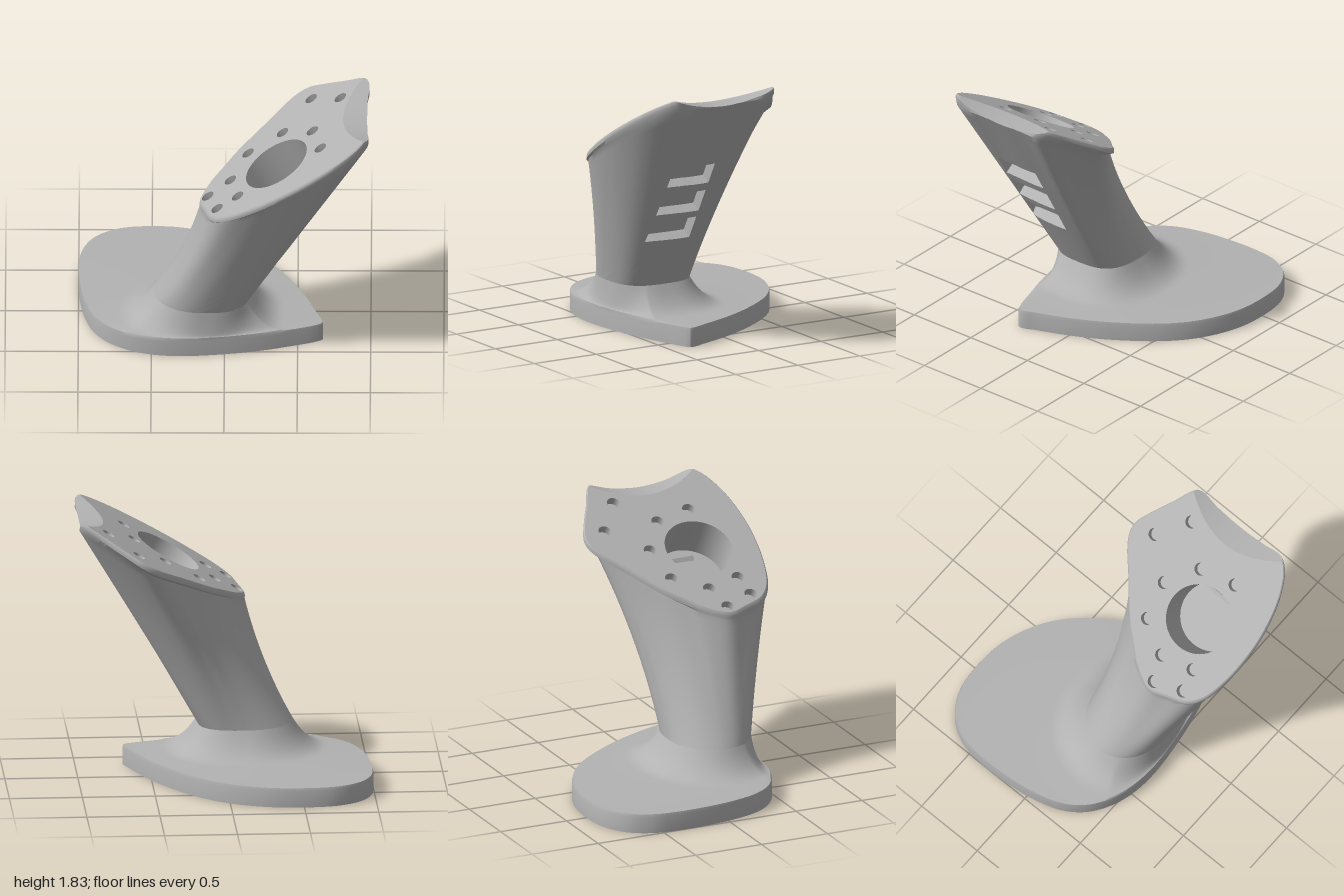
import * as THREE from 'three';
import { toCreasedNormals } from 'three/addons/utils/BufferGeometryUtils.js';

const V = (x, y, z) => new THREE.Vector3(x, y, z);
const lerp = THREE.MathUtils.lerp;
const TILT = Math.PI / 6;

// Joins rings of equal length (bottom to top, or outside to inside) into a surface
function loft(rings, closed = true, skip = () => false, crease = 0.6) {
  const n = rings[0].length, pos = [], index = [];
  rings.forEach(r => r.forEach(p => pos.push(p.x, p.y, p.z)));
  for (let r = 0; r < rings.length - 1; r++) {
    for (let c = 0; c < (closed ? n : n - 1); c++) {
      if (skip(r, c)) continue;
      const a = r * n + c, b = r * n + (c + 1) % n;
      index.push(a, a + n, b, b, a + n, b + n);
    }
  }
  const g = new THREE.BufferGeometry();
  g.setAttribute('position', new THREE.Float32BufferAttribute(pos, 3));
  g.setIndex(index);
  return toCreasedNormals(g, crease);
}

// Smooth closed outline in x, z
function outlineCurve(points) {
  const c = new THREE.CatmullRomCurve3(points.map(([x, z]) => V(x, 0, z)), true, 'centripetal');
  c.arcLengthDivisions = 1000;
  return c;
}

// Neck section: round on its left, squarer on its right
const NECK = { x: -0.16, z: 0.23, rx: 0.33, rz: 0.29, y: 0.33 };
function neckPoint(a) {
  const c = Math.cos(a), s = Math.sin(a), e = c > 0 ? 2 / 3 : 1;
  return V(NECK.x + NECK.rx * Math.sign(c) * Math.abs(c) ** e, NECK.y,
    NECK.z + NECK.rz * Math.sign(s) * Math.abs(s) ** e);
}

// Sloping top plane, with a shallow cylindrical cradle cut across its high end
const plane = x => 1.282 + 0.577 * x;
const cradle = z => 1.75 + (z - 0.25) ** 2 / 2;
const topY = (x, z, drop) => Math.min(plane(x) - drop, cradle(z));

// Upper plate outline, starting at the middle of the high edge
const plateOutline = outlineCurve([
  [0.975, 0.25], [0.978, 0.45], [0.98, 0.61], [0.92, 0.7], [0.78, 0.78], [0.62, 0.825], [0.43, 0.845],
  [0.19, 0.825], [0, 0.765], [-0.09, 0.68], [-0.135, 0.55], [-0.17, 0.4], [-0.1, 0.24], [-0.02, 0.14],
  [0.08, 0.02], [0.3, -0.18], [0.43, -0.3], [0.51, -0.348], [0.58, -0.355], [0.64, -0.33],
  [0.82, -0.225], [0.98, -0.12], [0.978, 0.05]]);
const plateSamples = plateOutline.getSpacedPoints(1200);
function platePoint(u) {
  const f = (((u % 1) + 1) % 1) * 1200, i = Math.floor(f);
  return plateSamples[i].clone().lerp(plateSamples[Math.min(i + 1, 1200)], f - i);
}

// Point on the column: u runs round, s runs from the neck to the plate
function columnPoint(u, s) {
  const p = platePoint(u);
  const a = Math.atan2((p.z - 0.25) / 0.6, (p.x - 0.4) / 0.575);
  const q = neckPoint(a);
  const tz = 0.25 + (p.z - 0.25) * (p.z < 0.25 ? 0.9 : 0.97);
  const ty = topY(p.x, p.z, 0.05 + 0.04 * Math.max(0, p.x));
  const bend = 4 * s * (1 - s);
  return V(lerp(q.x, p.x, s) + 0.03 * bend * Math.max(0, -Math.cos(a)), lerp(q.y, ty, s),
    lerp(q.z, tz, s) + 0.05 * bend * Math.max(0, -Math.sin(a)));
}

// Finds u where the column crosses a given z on its high side
function findU(z, s, lo, hi) {
  for (let i = 0; i < 40; i++) {
    const m = (lo + hi) / 2;
    if (columnPoint(m, s).z < z) lo = m; else hi = m;
  }
  return (lo + hi) / 2;
}

const SLOT_COLS = 16, REST_COLS = 150;
function ringUs(s) {
  const a = findU(0.17, s, -0.1, 0.1), b = findU(0.5, s, 0, 0.27), us = [];
  for (let i = 0; i < SLOT_COLS; i++) us.push(lerp(a, b, i / SLOT_COLS));
  for (let i = 0; i < REST_COLS; i++) us.push(lerp(b, a + 1, i / REST_COLS));
  return us;
}

export function createModel() {
  const model = new THREE.Group();
  const grey = new THREE.MeshStandardMaterial({ color: 0xb2b2b2, side: THREE.DoubleSide });
  grey.name = 'plain grey';
  const add = (name, geometry, parent = model) => {
    const m = new THREE.Mesh(geometry, grey);
    m.name = name;
    parent.add(m);
    return m;
  };

  // Teardrop foot, with a flared fillet rising to the neck
  const foot = outlineCurve([
    [0.672, 0.345], [0.62, 0.375], [0.45, 0.43], [0.25, 0.485], [0, 0.53], [-0.3, 0.555], [-0.5, 0.535],
    [-0.66, 0.48], [-0.8, 0.385], [-0.9, 0.25], [-0.965, 0.05], [-0.995, -0.17], [-1, -0.4],
    [-0.975, -0.57], [-0.89, -0.72], [-0.73, -0.82], [-0.48, -0.85], [-0.24, -0.82], [0, -0.715],
    [0.2, -0.55], [0.42, -0.25], [0.55, 0], [0.64, 0.23], [0.672, 0.31]]).getSpacedPoints(240).slice(0, -1);
  const necks = foot.map(p => neckPoint(Math.atan2((p.z - NECK.z) / NECK.rz, (p.x - NECK.x) / NECK.rx)));
  const footRing = (y, inset) => foot.map(p => V(p.x, y, p.z).lerp(V(NECK.x, y, NECK.z), inset));
  const footRings = [footRing(0, 1), footRing(0, 0), footRing(0.115, 0), footRing(0.135, 0.006)];
  for (const k of [1, 0.85, 0.7, 0.55, 0.42, 0.3, 0.2, 0.1, 0]) {
    footRings.push(foot.map((p, i) => {
      const q = necks[i], length = Math.hypot(p.x - q.x, p.z - q.z);
      const d = Math.min(0.24, length * 0.95) * k;
      const r = q.clone().lerp(V(p.x, q.y, p.z), d / length);
      r.y = 0.143 + 0.187 * (1 - k) ** 2.2;
      return r;
    }));
  }
  add('foot', loft(footRings));

  // Leaning column with a rounded plate lip and the cradle at the high end
  const rows = [0, 0.06, 0.12, 0.19, 0.255, 0.31, 0.369, 0.404, 0.46, 0.518, 0.56, 0.61, 0.667,
    0.72, 0.78, 0.84, 0.9, 0.95, 1];
  const slots = [[0.255, 0.369], [0.404, 0.518], [0.56, 0.667]];
  const rings = rows.map(s => ringUs(s).map(u => columnPoint(u, s)));
  const lastUs = ringUs(1);
  const lip = (drop, scale) => lastUs.map(u => {
    const p = platePoint(u);
    const x = 0.4 + (p.x - 0.4) * scale, z = 0.25 + (p.z - 0.25) * scale;
    return V(x, topY(x, z, drop), z);
  });
  rings.push(lip(0.04, 0.998), lip(0.022, 1), lip(0.008, 0.994), lip(0, 0.982));
  const rim = rings[rings.length - 1].map(p => {
    const x = Math.min(p.x, (cradle(p.z) - 1.282) / 0.577);
    return V(x, plane(x), p.z);
  });
  rings.push(rim);
  const inSlot = r => slots.some(([a, b]) => rows[r] >= a && rows[r] < b);
  add('column', loft(rings, true, (r, c) => c < SLOT_COLS && inSlot(r)));

  // Recessed slots on the underside of the lean
  slots.forEach(([s0, s1], i) => {
    const outer = rows.map((s, r) => [s, r]).filter(([s]) => s >= s0 && s <= s1);
    const front = outer.map(([, r]) => rings[r].slice(0, SLOT_COLS + 1));
    const back = front.map(row => {
      const deep = row.reduce((m, p) => (p.x > m.x ? p : m));
      return row.map(p => V(Math.min(deep.x - 0.07, p.x - 0.01), p.y + 0.04, p.z));
    });
    const end = front.length - 1;
    const slot = new THREE.Group();
    slot.name = 'slot' + (i + 1);
    add('slotBack', loft(back, false), slot);
    add('slotFloor', loft([front[0], back[0]], false), slot);
    add('slotCeiling', loft([back[end], front[end]], false), slot);
    add('slotSideA', loft([back.map(r => r[0]), front.map(r => r[0])], false), slot);
    add('slotSideB', loft([front.map(r => r[SLOT_COLS]), back.map(r => r[SLOT_COLS])], false), slot);
    model.add(slot);
  });

  // Sloping top face with a large bore and ten small screw holes: x, z, radius, depth
  const holes = [[0.355, 0.41, 0.24, 0.3], ...[
    [0.59, -0.19], [0.79, -0.03], [0.16, 0.11], [0.395, 0.06], [0.6, 0.215], [0.655, 0.475],
    [0.04, 0.34], [-0.115, 0.405], [0.09, 0.58], [-0.05, 0.61]].map(([x, z]) => [x, z, 0.045, 0.06])];
  const shape = new THREE.Shape(rim.map(p => new THREE.Vector2(p.x, -p.z)));
  for (const [x, z, r] of holes) {
    shape.holes.push(new THREE.Path().absellipse(x, -z, r * Math.cos(TILT), r, 0, Math.PI * 2, true));
  }
  const face = new THREE.ShapeGeometry(shape, 24).rotateX(-Math.PI / 2);
  const fp = face.attributes.position;
  for (let i = 0; i < fp.count; i++) fp.setY(i, plane(fp.getX(i)));
  face.computeVertexNormals();
  add('topFace', face);

  holes.forEach(([x, z, r, depth], i) => {
    const hole = new THREE.Group();
    hole.name = i ? 'screwHole' + i : 'mainBore';
    add('holeWall', new THREE.CylinderGeometry(r, r, depth, 48, 1, true).translate(0, -depth / 2, 0), hole);
    add('holeFloor', new THREE.CircleGeometry(r, 48).rotateX(-Math.PI / 2).translate(0, -depth, 0), hole);
    hole.position.set(x, plane(x), z);
    hole.rotation.z = TILT;
    model.add(hole);
  });
  return model;
}
